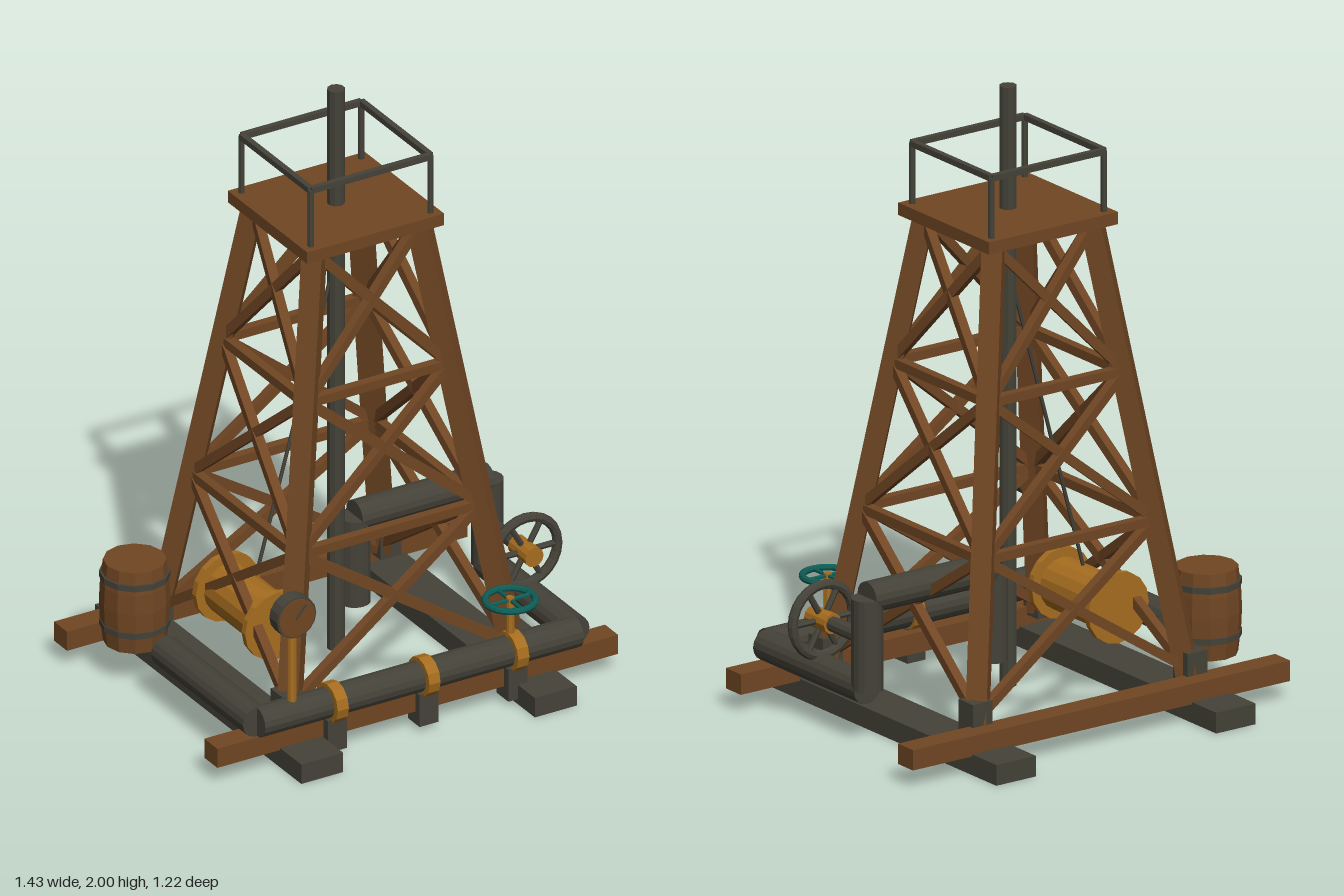
import * as THREE from 'three';

const mat = (name, color) => {
  const m = new THREE.MeshStandardMaterial({ color });
  m.name = name;
  return m;
};

export function createModel() {
  const root = new THREE.Group();
  root.name = 'drillingDerrick';
  const wood = mat('wood', 0x704623);
  const iron = mat('iron', 0x444238);
  const brass = mat('brass', 0xa66d1f);
  const teal = mat('teal', 0x0d5c55);
  const V = (x, y, z) => new THREE.Vector3(x, y, z);

  // Faceted mesh helper
  const add = (name, geo, material, pos, parent = root) => {
    const g = geo.index ? geo.toNonIndexed() : geo;
    g.computeVertexNormals();
    const mesh = new THREE.Mesh(g, material);
    mesh.name = name;
    mesh.position.copy(pos);
    parent.add(mesh);
    return mesh;
  };
  const box = (name, material, w, h, d, x, y, z, parent) =>
    add(name, new THREE.BoxGeometry(w, h, d), material, V(x, y, z), parent);
  // Square timber between two points
  const beam = (name, material, a, b, t, parent) => {
    const mesh = add(name, new THREE.BoxGeometry(t, t, a.distanceTo(b)), material, a.clone().lerp(b, 0.5), parent);
    mesh.lookAt(b);
    return mesh;
  };
  // Round bar between two points
  const rod = (name, material, a, b, r, sides = 12, parent = root) => {
    const mesh = add(name, new THREE.CylinderGeometry(r, r, a.distanceTo(b), sides), material, a.clone().lerp(b, 0.5), parent);
    mesh.quaternion.setFromUnitVectors(V(0, 1, 0), b.clone().sub(a).normalize());
    return mesh;
  };
  // Spoked handwheel lying in its own xy plane
  const handwheel = (name, material, r, tube, spokes, spokeR) => {
    const g = new THREE.Group();
    g.name = name;
    add('rim', new THREE.TorusGeometry(r, tube, 8, 24), material, V(0, 0, 0), g);
    for (let i = 0; i < spokes; i++) {
      const a = (i / spokes) * Math.PI * 2;
      rod('spoke', material, V(0, 0, 0), V(Math.cos(a) * r, Math.sin(a) * r, 0), spokeR, 6, g);
    }
    root.add(g);
    return g;
  };

  // Base skids and cross beams
  for (const s of [-1, 1]) {
    box('skid', iron, 0.15, 0.067, 1.22, s * 0.418, 0.0335, 0);
    box('crossBeam', wood, 1.434, 0.066, 0.078, 0, 0.093, s * 0.445);
  }

  // Tower legs and their shoes
  const corner = (sx, sz, y) => {
    const t = (y - 0.12) / 1.46;
    return V(sx * (0.4 - 0.215 * t), y, sz * (0.385 - 0.207 * t));
  };
  const corners = [[1, 1], [1, -1], [-1, -1], [-1, 1]];
  for (const [sx, sz] of corners) {
    beam('towerLeg', wood, corner(sx, sz, 0.12), corner(sx, sz, 1.58), 0.065);
    box('legShoe', iron, 0.075, 0.1, 0.075, sx * 0.408, 0.15, sz * 0.387);
  }

  // Girts and cross bracing on all four sides
  const levels = [0.14, 0.617, 1.094, 1.565];
  corners.forEach((c, i) => {
    const d = corners[(i + 1) % 4];
    for (let k = 0; k < 3; k++) {
      const [lo, hi] = [levels[k], levels[k + 1]];
      if (k > 0) beam('girt', wood, corner(...c, lo), corner(...d, lo), 0.03);
      beam('brace', wood, corner(...c, lo), corner(...d, hi), 0.03);
      beam('brace', wood, corner(...d, lo), corner(...c, hi), 0.03);
    }
  });

  // Crown platform with railing
  box('platform', wood, 0.49, 0.04, 0.47, 0, 1.585, 0);
  corners.forEach(([sx, sz], i) => {
    const [tx, tz] = corners[(i + 1) % 4];
    const top = V(sx * 0.214, 1.8, sz * 0.205);
    rod('railPost', iron, V(top.x, 1.6, top.z), top, 0.01, 8);
    beam('topRail', iron, top, V(tx * 0.214, 1.8, tz * 0.205), 0.019);
  });

  // Drill pipe and hoisting cable
  rod('drillPipe', iron, V(0, 0.06, 0), V(0, 2, 0), 0.028, 10);
  rod('hoistCable', iron, V(-0.285, 0.39, 0), V(0, 1.42, 0), 0.006, 6);

  // Pipework run
  const run = [
    V(-0.57, 0.175, -0.07), V(-0.57, 0.175, 0.475), V(0.57, 0.175, 0.475), V(0.57, 0.175, -0.047),
    V(0.57, 0.47, -0.047), V(0.095, 0.47, -0.047), V(0.095, 0.175, -0.047),
  ];
  for (let i = 0; i < run.length - 1; i++) rod('pipe', iron, run[i], run[i + 1], 0.05, 16);

  // Pipe clamps on support blocks
  for (const x of [-0.303, 0.025, 0.343]) {
    rod('pipeClamp', brass, V(x - 0.02, 0.175, 0.48), V(x + 0.02, 0.175, 0.48), 0.065, 12);
    box('pipeSupport', iron, 0.068, 0.11, 0.07, x, 0.073, 0.475);
  }

  // Pressure gauge
  rod('gaugeStem', brass, V(-0.45, 0.2, 0.482), V(-0.45, 0.47, 0.482), 0.015, 8);
  rod('gaugeBody', iron, V(-0.45, 0.52, 0.465), V(-0.45, 0.52, 0.512), 0.07, 16);
  rod('gaugeFace', wood, V(-0.45, 0.52, 0.51), V(-0.45, 0.52, 0.515), 0.064, 16);
  const needle = box('gaugeNeedle', iron, 0.007, 0.055, 0.004, -0.437, 0.538, 0.516);
  needle.rotation.z = -0.7;

  // Small valve on the front pipe
  rod('valveStem', brass, V(0.335, 0.2, 0.477), V(0.335, 0.36, 0.477), 0.013, 8);
  const valve = handwheel('valveWheel', teal, 0.078, 0.011, 4, 0.007);
  valve.position.set(0.335, 0.35, 0.477);
  valve.rotation.x = Math.PI / 2;

  // Large control wheel on the riser
  rod('wheelShaft', iron, V(0.56, 0.33, -0.03), V(0.56, 0.33, 0.16), 0.024, 10);
  rod('wheelHub', brass, V(0.56, 0.33, 0.145), V(0.56, 0.33, 0.248), 0.033, 12);
  handwheel('controlWheel', iron, 0.114, 0.016, 6, 0.01).position.set(0.56, 0.33, 0.196);

  // Winch drum
  rod('winchDrum', brass, V(-0.305, 0.29, -0.14), V(-0.305, 0.29, 0.14), 0.085, 16);
  for (const s of [-1, 1])
    rod('drumFlange', brass, V(-0.305, 0.29, s * 0.135), V(-0.305, 0.29, s * 0.157), 0.115, 16);

  // Barrel with hoops
  const profile = [[0, 0.125], [0.098, 0.125], [0.107, 0.2], [0.11, 0.265], [0.107, 0.33], [0.098, 0.405], [0, 0.405]];
  add('barrel', new THREE.LatheGeometry(profile.map(([r, y]) => new THREE.Vector2(r, y)), 12), wood, V(-0.563, 0, -0.26));
  for (const y of [0.19, 0.355])
    rod('barrelHoop', iron, V(-0.563, y - 0.01, -0.26), V(-0.563, y + 0.01, -0.26), 0.11, 12);

  return root;
}
